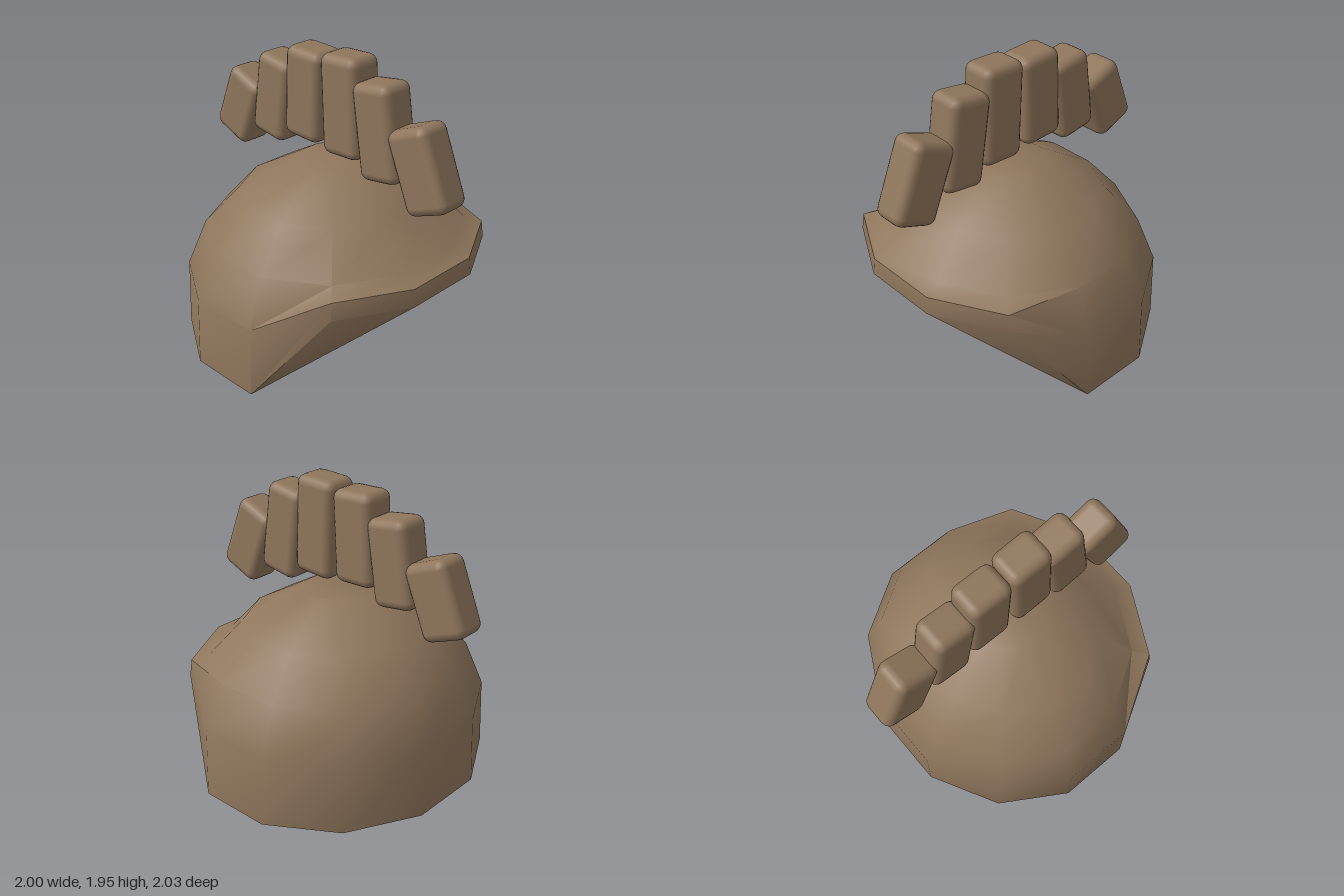
import * as THREE from 'three';
import { toCreasedNormals } from 'three/addons/utils/BufferGeometryUtils.js';
import { RoundedBoxGeometry } from 'three/addons/geometries/RoundedBoxGeometry.js';

const SIDES = 12;

// Twelve-sided shell: stacked rings whose four front corners rise to form the brim
function helmetGeometry() {
  // half width, height, height of the front corners
  const rings = [
    [1.0, 0, 0.61],
    [0.985, 0.46, 0.725],
    [0.86, 0.765, 0.765],
    [0.622, 1.02, 1.02],
    [0.247, 1.22, 1.22],
  ];
  const positions = [];
  const index = [];
  for (const [halfWidth, y, frontY] of rings) {
    const radius = halfWidth / Math.cos(Math.PI / SIDES);
    for (let i = 0; i < SIDES; i++) {
      const angle = ((i + 0.5) / SIDES) * Math.PI * 2;
      const atFront = i >= 1 && i <= 4;
      positions.push(radius * Math.cos(angle), atFront ? frontY : y, 0.033 + 0.932 * radius * Math.sin(angle));
    }
  }
  // walls and dome
  for (let r = 0; r < rings.length - 1; r++) {
    for (let i = 0; i < SIDES; i++) {
      const a = r * SIDES + i;
      const b = r * SIDES + ((i + 1) % SIDES);
      index.push(a, a + SIDES, b, b, a + SIDES, b + SIDES);
    }
  }
  // flat crown
  const top = (rings.length - 1) * SIDES;
  for (let i = 1; i < SIDES - 1; i++) index.push(top, top + i + 1, top + i);
  // flat base behind the face opening
  for (let i = 6; i < SIDES; i++) index.push(5, i, (i + 1) % SIDES);
  // sloping face under the brim
  index.push(0, 1, 2, 0, 2, 3, 0, 3, 5, 3, 4, 5);

  const geometry = new THREE.BufferGeometry();
  geometry.setAttribute('position', new THREE.Float32BufferAttribute(positions, 3));
  geometry.setIndex(index);
  return toCreasedNormals(geometry, THREE.MathUtils.degToRad(42));
}

export function createModel() {
  const model = new THREE.Group();
  model.name = 'crestedHelmet';
  const material = new THREE.MeshStandardMaterial({ color: 0x8f765c });

  const shell = new THREE.Mesh(helmetGeometry(), material);
  shell.name = 'helmetShell';
  model.add(shell);

  // Crest of rounded blocks fanned from front to back
  const crest = new THREE.Group();
  crest.name = 'crest';
  // z, y, depth, height, tilt in degrees
  const blocks = [
    [0.787, 1.373, 0.315, 0.54, -22],
    [0.455, 1.522, 0.3, 0.625, -8.5],
    [0.162, 1.615, 0.305, 0.66, -2.5],
    [-0.163, 1.615, 0.305, 0.61, 2.5],
    [-0.458, 1.522, 0.3, 0.57, 8.5],
    [-0.795, 1.375, 0.315, 0.495, 22],
  ];
  blocks.forEach(([z, y, depth, height, tilt], i) => {
    const block = new THREE.Mesh(new RoundedBoxGeometry(0.25, height, depth, 2, 0.06), material);
    block.name = `crestBlock${i + 1}`;
    block.position.set(0, y, z);
    block.rotation.x = THREE.MathUtils.degToRad(tilt);
    crest.add(block);
  });
  model.add(crest);

  return model;
}
